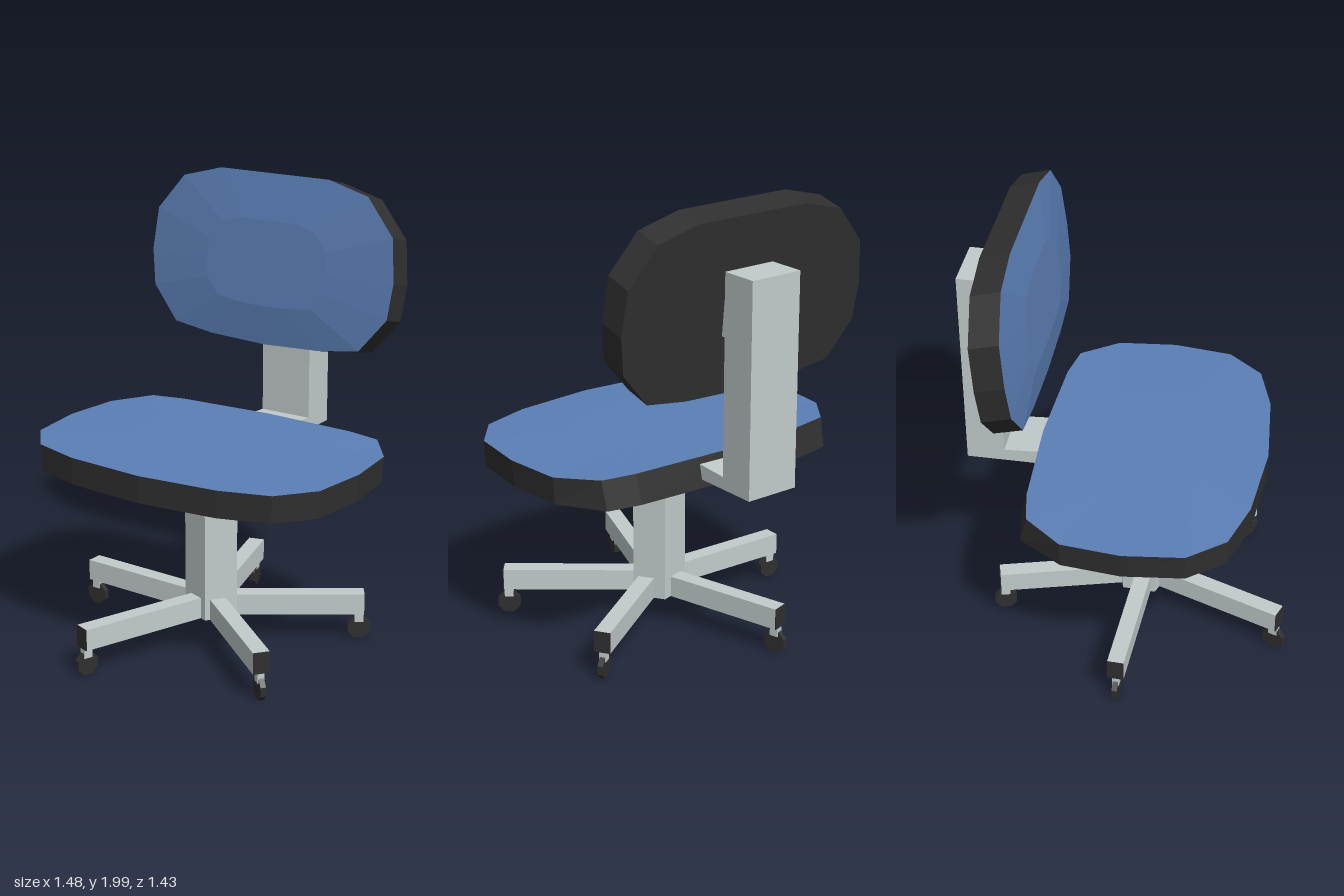
import * as THREE from 'three';

const paint = (color) => new THREE.MeshStandardMaterial({ color, flatShading: true });

// Mesh from a list of triangles whose corners are Vector3
function facetMesh(name, tris, material) {
  const g = new THREE.BufferGeometry().setFromPoints(tris.flat());
  g.computeVertexNormals();
  const mesh = new THREE.Mesh(g, material);
  mesh.name = name;
  return mesh;
}

// Band of quads between two closed loops
function band(a, b) {
  return a.flatMap((p, i) => {
    const j = (i + 1) % a.length;
    return [[p, a[j], b[j]], [p, b[j], b[i]]];
  });
}

// Cap over a closed loop
const fan = (loop, c) => loop.map((p, i) => [c, p, loop[(i + 1) % loop.length]]);

// Cushion: domed fabric cover in front, dark shell around and behind.
// outline runs anticlockwise; place(u, v, depth) maps pad space to the model.
function cushion(name, outline, place, center, bulge, dark, blue) {
  const [cu, cv] = center;
  const ring = (s, d) => outline.map(([u, v]) => place(cu + (u - cu) * s, cv + (v - cv) * s, d));
  const rim = ring(1, 0), inner = ring(0.5, bulge), rear = ring(1, -1);
  const group = new THREE.Group();
  group.name = name;
  group.add(
    facetMesh(name + 'Cover', [...band(rim, inner), ...fan(inner, place(cu, cv, bulge))], blue),
    facetMesh(name + 'Shell', [...band(rear, rim), ...fan([...rear].reverse(), place(cu, cv, -1))], dark)
  );
  return group;
}

// Complete a right half outline (bottom to top) with its mirror image
const mirrorOutline = (half) =>
  [...half, ...half.filter(([u]) => u !== 0).reverse().map(([u, v]) => [-u, v])];

export function createModel() {
  const model = new THREE.Group();
  const metal = paint(0xc2cccb), dark = paint(0x2f2f2f), blue = paint(0x5b7fb6);
  const box = (name, size, pos, material, parent = model) => {
    const mesh = new THREE.Mesh(new THREE.BoxGeometry(...size), material);
    mesh.position.set(...pos);
    mesh.name = name;
    parent.add(mesh);
    return mesh;
  };

  // Seat: outline in x and -z, rear edge slightly raised
  const seatOutline = mirrorOutline([
    [0, -0.575], [0.365, -0.543], [0.585, -0.475], [0.71, -0.32],
    [0.742, -0.06], [0.715, 0.197], [0.592, 0.36], [0.44, 0.39], [0, 0.41]
  ]);
  const placeSeat = (u, v, d) => d < 0
    ? new THREE.Vector3(u * 0.99, 0.795, -v - (v > 0.3 ? 0.03 : 0))
    : new THREE.Vector3(u, 0.913 + Math.max(0, v - 0.2) * 0.05 + d, -v);
  model.add(cushion('seat', seatOutline, placeSeat, [0, -0.08], 0.008, dark, blue));

  // Backrest: leaning backwards, cover bulging forwards
  const backOutline = mirrorOutline([
    [0, 1.25], [0.28, 1.262], [0.475, 1.29], [0.6, 1.44],
    [0.62, 1.6], [0.6, 1.79], [0.47, 1.948], [0.275, 2]
  ]);
  const placeBack = (u, v, d) => {
    const z = -0.38 - (v - 1.25) * 0.097;
    return d < 0
      ? new THREE.Vector3(u, v - 0.033, z - 0.124)
      : new THREE.Vector3(u, v, z + d);
  };
  model.add(cushion('backrest', backOutline, placeBack, [0, 1.6], 0.028, dark, blue));

  // L-shaped bracket carrying the backrest, profile in z and y
  const profile = new THREE.Shape([
    [0.36, 0.83], [0.725, 0.83], [0.725, 1.75], [0.56, 1.75], [0.56, 0.885], [0.36, 0.897]
  ].map(([z, y]) => new THREE.Vector2(z, y)));
  const bracket = new THREE.Mesh(
    new THREE.ExtrudeGeometry(profile, { depth: 0.245, bevelEnabled: false }), metal);
  bracket.rotation.y = Math.PI / 2;
  bracket.position.x = -0.118;
  bracket.name = 'backrestBracket';
  model.add(bracket);
  box('backrestMount', [0.22, 0.27, 0.08], [0.005, 1.61, -0.525], metal);

  // Five-sided column, one face per leg
  const turn = THREE.MathUtils.degToRad(38.5);
  const step = Math.PI * 2 / 5;
  const column = new THREE.Mesh(new THREE.CylinderGeometry(0.125, 0.125, 0.68, 5), metal);
  column.rotation.y = Math.PI / 2 - turn - step / 2 - Math.PI;
  // Cylinder corners start at +z, so aim one between two legs
  column.rotation.y = Math.PI / 2 - turn - step / 2 - Math.PI / 2 + Math.PI / 2 - Math.PI / 2;
  column.geometry.rotateY(Math.PI / 2);
  column.position.set(0.01, 0.47, 0.032);
  column.name = 'column';
  model.add(column);

  // Star base: legs with dark end caps and castors
  const base = new THREE.Group();
  base.name = 'starBase';
  base.position.set(0.01, 0, 0.05);
  model.add(base);
  for (let i = 0; i < 5; i++) {
    const leg = new THREE.Group();
    leg.name = 'leg' + (i + 1);
    leg.rotation.y = -(turn + i * step);
    base.add(leg);
    box('legBeam', [0.62, 0.095, 0.072], [0.36, 0.1775, 0], metal, leg);
    box('legEndCap', [0.004, 0.095, 0.072], [0.672, 0.1775, 0], dark, leg);
    box('castorStem', [0.04, 0.05, 0.03], [0.65, 0.11, 0], metal, leg);
    const wheel = new THREE.Mesh(new THREE.CylinderGeometry(0.053, 0.053, 0.024, 8), dark);
    wheel.rotation.set(Math.PI / 2, Math.PI / 8, 0);
    wheel.position.set(0.65, 0.058, 0);
    wheel.name = 'castorWheel';
    leg.add(wheel);
  }

  return model;
}
